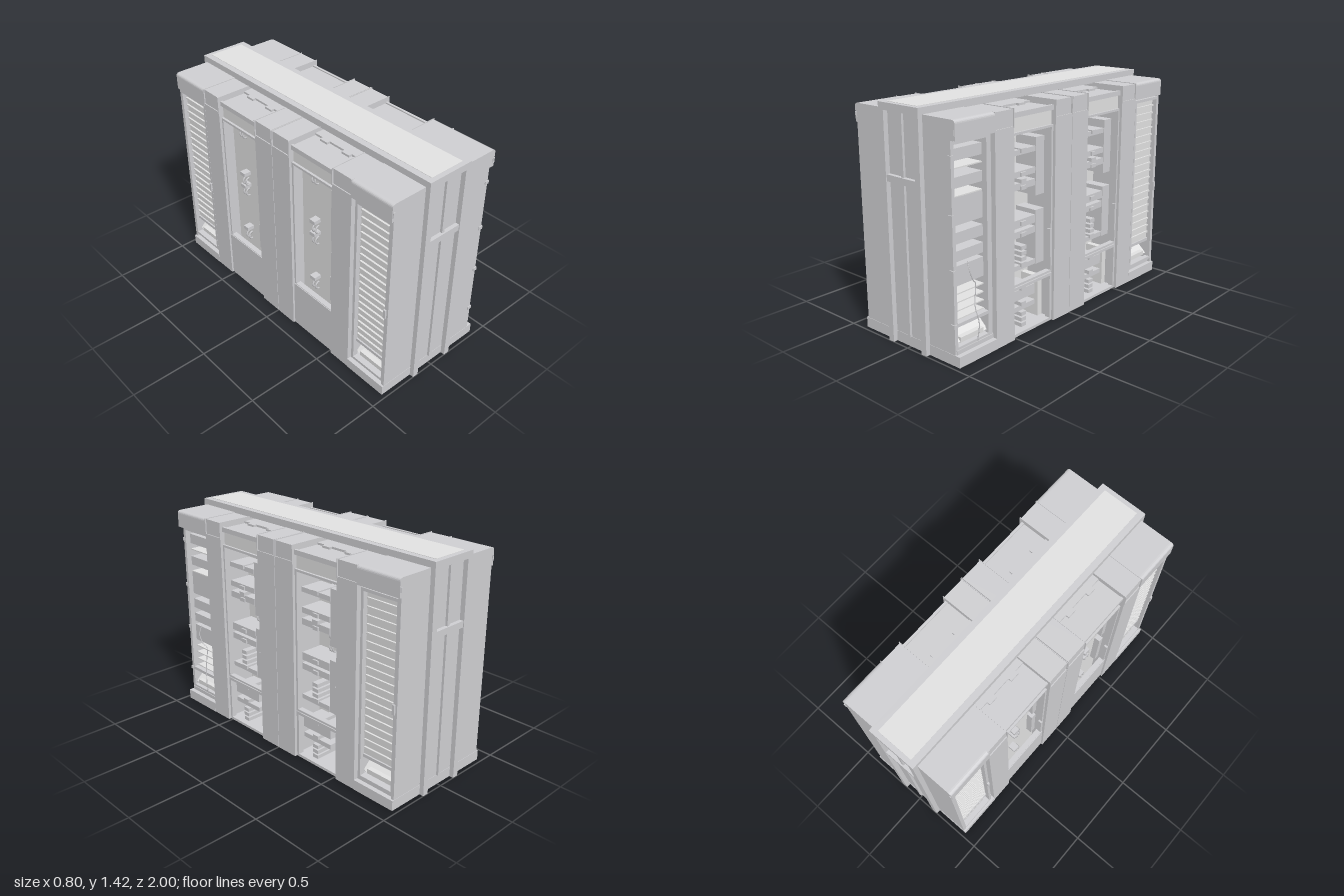
import * as THREE from 'three';

const mat = (name, color) => {
  const m = new THREE.MeshStandardMaterial({ color, side: THREE.DoubleSide });
  m.name = name;
  return m;
};

export function createModel() {
  const root = new THREE.Group();
  root.name = 'equipmentCabinet';
  const frame = mat('frame grey', 0xcfcfd2);
  const light = mat('light panel grey', 0xe2e2e2);

  const add = (name, geo, m, parent = root) => {
    const mesh = new THREE.Mesh(geo, m);
    mesh.name = name;
    parent.add(mesh);
    return mesh;
  };
  // box between two limits on each axis, in either order
  const box = (name, m, x0, x1, y0, y1, z0, z1, parent) => {
    const mesh = add(name, new THREE.BoxGeometry(Math.abs(x1 - x0), y1 - y0, Math.abs(z1 - z0)), m, parent);
    mesh.position.set((x0 + x1) / 2, (y0 + y1) / 2, (z0 + z1) / 2);
    return mesh;
  };
  // box without its bottom face
  const shell = (name, m, ...limits) => {
    const mesh = box(name, m, ...limits);
    const idx = Array.from(mesh.geometry.index.array);
    idx.splice(18, 6);
    mesh.geometry.setIndex(idx);
    mesh.geometry.clearGroups();
  };
  // rectangular frame of four bars in the side plane
  const sideFrame = (name, m, x0, x1, y0, y1, z0, z1, w) => {
    const g = new THREE.Group();
    g.name = name;
    root.add(g);
    const d = Math.sign(z1 - z0) * w;
    box('frameBottom', m, x0, x1, y0, y0 + w, z0, z1, g);
    box('frameTop', m, x0, x1, y1 - w, y1, z0, z1, g);
    box('frameJamb', m, x0, x1, y0 + w, y1 - w, z0, z0 + d, g);
    box('frameJamb', m, x0, x1, y0 + w, y1 - w, z1 - d, z1, g);
  };

  // top spine with its pale inset
  box('spineBeam', frame, -0.16, 0.16, 1.375, 1.418, -1, 1);
  box('spineInset', light, -0.12, 0.12, 1.416, 1.42, -0.97, 0.97);

  // rounded hood profile
  const hood = new THREE.Shape();
  hood.moveTo(-0.4, 1.27);
  hood.lineTo(0.4, 1.27);
  hood.lineTo(0.4, 1.36);
  hood.quadraticCurveTo(0.4, 1.38, 0.375, 1.38);
  hood.lineTo(-0.375, 1.38);
  hood.quadraticCurveTo(-0.4, 1.38, -0.4, 1.36);

  // sloping chute at the foot of each end cabinet
  const chute = (s, e) => {
    const panel = box('lowerChute', light, s * 0.235, s * 0.365, 0.163, 0.169, e * 0.7, e * 0.955);
    panel.rotation.z = -s * 0.75;
    box('chuteBlock', light, s * 0.27, s * 0.355, 0.12, 0.15, e * 0.735, e * 0.915);
    box('chuteRail', frame, s * 0.27, s * 0.365, 0.225, 0.245, e * 0.695, e * 0.955);
  };

  const louverDoor = (s, e, handleZ) => {
    sideFrame('louverDoorFrame', frame, s * 0.35, s * 0.387, 0.09, 1.26, e * 0.69, e * 0.962, 0.018);
    box('louverBacking', light, s * 0.345, s * 0.355, 0.24, 1.245, e * 0.7, e * 0.95);
    for (let i = 0; i < 19; i++) {
      const y = 0.285 + i * 0.0505;
      box('louverSlat', light, s * 0.35, s * 0.367, y, y + 0.011, e * 0.715, e * 0.94);
    }
    box('doorHandle', frame, s * 0.385, s * 0.398, 0.6, 0.66, e * handleZ - 0.008, e * handleZ + 0.008);
  };

  const openRack = (s, e) => {
    sideFrame('rackFrame', frame, s * 0.34, s * 0.365, 0.09, 1.26, e * 0.69, e * 0.962, 0.015);
    // bottom, top of each drawer or shelf
    const rows = [[1.15, 1.215], [1.105, 1.112], [1.0, 1.06], [0.95, 0.957], [0.795, 0.955], [0.69, 0.755],
      [0.59, 0.65], [0.45, 0.565], [0.4, 0.407], [0.35, 0.357], [0.3, 0.307], [0.25, 0.257]];
    for (const [a, b] of rows) box('rackUnit', b - a > 0.03 ? frame : light, s * 0.18, s * 0.335, a, b, e * 0.71, e * 0.94);
    for (const y of [1.18, 0.86, 0.55, 0.235]) box('rackHinge', frame, s * 0.342, s * 0.37, y - 0.011, y + 0.011, e * 0.955, e * 0.976);
    const cable = [[0.35, 0.58, 0.85], [0.37, 0.52, 0.85], [0.365, 0.46, 0.82], [0.355, 0.44, 0.795], [0.36, 0.3, 0.805], [0.375, 0.2, 0.79], [0.365, 0.09, 0.795]];
    const path = new THREE.CatmullRomCurve3(cable.map(p => new THREE.Vector3(s * p[0], p[1], e * p[2])));
    add('rackCable', new THREE.TubeGeometry(path, 30, 0.003, 5), frame);
  };

  // half-ring cable grip standing out of a panel
  const grip = (s, x, y, z) => {
    const m = add('cableGrip', new THREE.TorusGeometry(0.026, 0.006, 5, 10, Math.PI), frame);
    m.rotation.z = -s * Math.PI / 2;
    m.position.set(x, y, z);
  };

  for (const e of [1, -1]) {
    // end cabinet casing
    const h = add('cabinetHood', new THREE.ExtrudeGeometry(hood, { depth: 0.3, bevelEnabled: false, curveSegments: 5 }), frame);
    h.position.z = e > 0 ? 0.67 : -0.97;
    box('endWall', frame, -0.387, e > 0 ? 0.365 : 0.387, 0.06, 1.28, e * 0.95, e * 0.97);
    box('baseEnd', frame, -0.4, 0.4, 0, 0.065, e * 0.95, e * 0.972);

    // end posts, crossbar and centre strip
    for (const s of [1, -1]) box('endPost', frame, s * 0.12, s * 0.16, 0, 1.376, e * 0.96, e);
    box('endCrossbar', frame, -0.12, 0.12, 0.975, 1.015, e * 0.96, e * 0.995);
    box('endCentreStrip', frame, -0.01, 0.01, 0.065, 1.376, e * 0.96, e * 0.985);

    // hollow pillars spanning the full width, with set-back caps between edge plates
    for (const [a, b] of [[0.518, 0.671], [0.002, 0.157]]) {
      shell('pillar', frame, -0.398, 0.398, 0, 1.28, e * a, e * b);
      box('pillarCap', frame, -0.392, 0.392, 1.275, 1.376, e * (a + 0.004), e * (b - 0.004));
      for (const s of [1, -1]) for (const z of [a, b - 0.004])
        box('pillarEdge', frame, s * 0.16, s * 0.4, 1.27, 1.38, e * z, e * (z + 0.004));
    }

    for (const s of [1, -1]) {
      // end cabinet sides
      box('baseSide', frame, s * 0.37, s * 0.4, 0, 0.065, e * 0.67, e * 0.96);
      box('cabinetFloor', frame, s * 0.18, s * 0.37, 0.05, 0.09, e * 0.67, e * 0.96);
      box('cabinetBack', light, s * 0.17, s * 0.185, 0.05, 1.275, e * 0.67, e * 0.96);
      box('cabinetJamb', frame, s * 0.33, s * 0.365, 0.065, 1.275, e * 0.67, e * 0.69);
      box('endLatch', frame, s * 0.385, s * 0.396, 1.3, 1.33, e * 0.968, e * 0.975);
      chute(s, e);
      if (s > 0 && e > 0) openRack(s, e);
      else louverDoor(s, e, s * e > 0 ? 0.7 : 0.95);

      // equipment bay: stepped roof, header, back and frames
      const backX = s > 0 ? 0.185 : 0.3;
      box('bayRoof', frame, s * 0.2, s * 0.375, 1.325, 1.342, e * 0.157, e * 0.52);
      box('bayInnerRoof', frame, 0, s * 0.2, 1.325, 1.355, e * 0.157, e * 0.52);
      for (const z of [0.25, 0.43]) box('roofTab', frame, s * 0.19, s * 0.222, 1.335, 1.355, e * (z - 0.03), e * (z + 0.03));
      box('roofLip', frame, s * 0.365, s * 0.382, 1.32, 1.35, e * 0.157, e * 0.52);
      box('bayHeader', light, s * 0.345, s * 0.365, 1.23, 1.325, e * 0.157, e * 0.52);
      box('bayBack', light, s * (backX - 0.015), s * backX, 0, 1.33, e * 0.157, e * 0.52);
      sideFrame('bayFrame', frame, s * 0.345, s * 0.38, 0.32, 1.235, e * 0.157, e * 0.52, 0.014);

      // position in the bay, mirrored where the ducts change ends
      const bz = z => s * e < 0 ? e * (0.675 - z) : e * z;
      for (const [a, b] of [[0.82, 1.17], [0.39, 0.73]]) box('wiringDuct', frame, s * backX, s * 0.34, a, b, bz(0.19), bz(s > 0 ? 0.265 : 0.225));
      box('doorLatch', frame, s * 0.36, s * 0.385, 0.42, 0.6, bz(0.168), bz(0.182));
      const rowConnector = y => box('connector', frame, s * backX, s * 0.35, y - 0.012, y + 0.012, bz(0.36), bz(0.405));
      for (const y of [1.17, 0.82, 0.74, 0.39]) for (const z of [0.355, 0.38]) grip(s, s * (backX + 0.02), y, bz(z));

      if (s > 0) {
        // equipment shelves and connectors
        for (const [a, b] of [[1.09, 1.12], [0.96, 0.995], [0.885, 0.925], [0.655, 0.705], [0.595, 0.635], [0.395, 0.425]])
          box('bayShelf', frame, 0.185, 0.34, a, b, bz(0.27), bz(0.505));
        for (const y of [1.115, 0.975, 0.935, 0.895, 0.68, 0.61, 0.53, 0.495, 0.46, 0.425]) rowConnector(y);

        // lower window with shelves
        sideFrame('lowerFrame', frame, 0.345, 0.38, 0, 0.315, e * 0.157, e * 0.52, 0.018);
        box('lowerFloor', frame, 0.18, 0.36, 0, 0.018, e * 0.157, e * 0.52);
        for (const [a, b] of [[0.2, 0.265], [0.13, 0.16]]) box('lowerShelf', frame, 0.185, 0.335, a, b, bz(0.265), bz(0.5));
        box('lowerDuct', light, 0.185, 0.32, 0.03, 0.29, bz(0.18), bz(0.22));
        for (const y of [0.275, 0.175, 0.11, 0.075, 0.04]) rowConnector(y);
      } else {
        // sparse connectors above a solid lower cover
        for (const y of [0.87, 0.78, 0.44]) rowConnector(y);
        box('lowerCover', frame, -0.365, -0.385, 0, 0.33, e * 0.157, e * 0.52);
      }
    }
  }
  return root;
}
